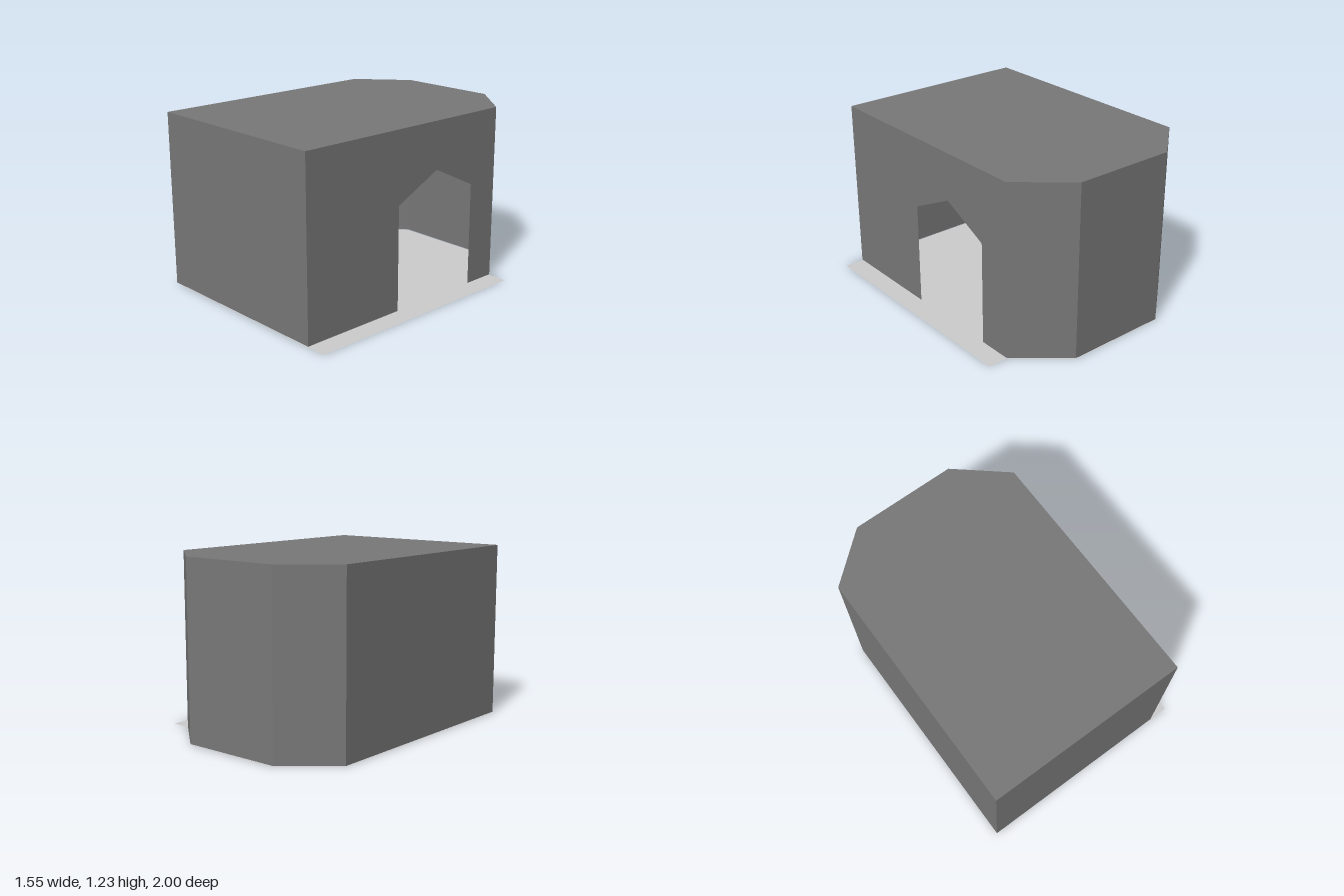
import * as THREE from 'three';

const BASE = 0.005, TOP = 1.23;

const wallMaterial = new THREE.MeshStandardMaterial({ color: 0x787878, side: THREE.DoubleSide });
const floorMaterial = new THREE.MeshStandardMaterial({ color: 0xcccccc, side: THREE.DoubleSide });

// Flat panel from 2D outline points
function panel(name, points, material) {
  const shape = new THREE.Shape(points.map(([x, y]) => new THREE.Vector2(x, y)));
  const mesh = new THREE.Mesh(new THREE.ShapeGeometry(shape), material);
  mesh.name = name;
  return mesh;
}

// Horizontal panel from [x, z] points, facing up
function slab(name, points, y, material) {
  const mesh = panel(name, points.map(([x, z]) => [x, -z]), material);
  mesh.geometry.rotateX(-Math.PI / 2);
  mesh.position.y = y;
  return mesh;
}

// Upright rectangular wall between two [x, z] points
function wall(name, [x0, z0], [x1, z1]) {
  const geometry = new THREE.PlaneGeometry(Math.hypot(x1 - x0, z1 - z0), TOP - BASE);
  const mesh = new THREE.Mesh(geometry, wallMaterial);
  mesh.name = name;
  mesh.position.set((x0 + x1) / 2, (BASE + TOP) / 2, (z0 + z1) / 2);
  mesh.rotation.y = -Math.atan2(z1 - z0, x1 - x0);
  return mesh;
}

export function createModel() {
  const group = new THREE.Group();
  group.name = 'shelter';

  // Plan of the room: square front, chamfered back corners
  const frontA = [-0.775, 1], frontB = [0.635, 1];
  const sideB = [0.635, -0.715], backB = [0.297, -1];
  const backA = [-0.44, -1], sideA = [-0.775, -0.715];

  group.add(
    wall('frontWall', frontA, frontB),
    wall('backChamferLeft', sideB, backB),
    wall('backWall', backB, backA),
    wall('backChamferRight', backA, sideA),
    wall('closedSideWall', sideA, frontA),
    slab('roof', [frontA, frontB, sideB, backB, backA, sideA], TOP, wallMaterial)
  );

  // Side wall with a pointed doorway, drawn along -z
  const doorWall = panel('doorwayWall', [
    [-1, BASE], [-0.225, BASE], [-0.225, 0.73], [0.125, 0.9], [0.475, 0.73],
    [0.475, BASE], [0.715, BASE], [0.715, TOP], [-1, TOP]
  ], wallMaterial);
  doorWall.geometry.rotateY(Math.PI / 2);
  doorWall.position.x = 0.635;
  group.add(doorWall);

  // Floor reaching out past the doorway as a step
  group.add(slab('floor', [
    frontA, [0.775, 1], [0.775, -0.715], sideB, backB, backA, sideA
  ], 0, floorMaterial));

  return group;
}
